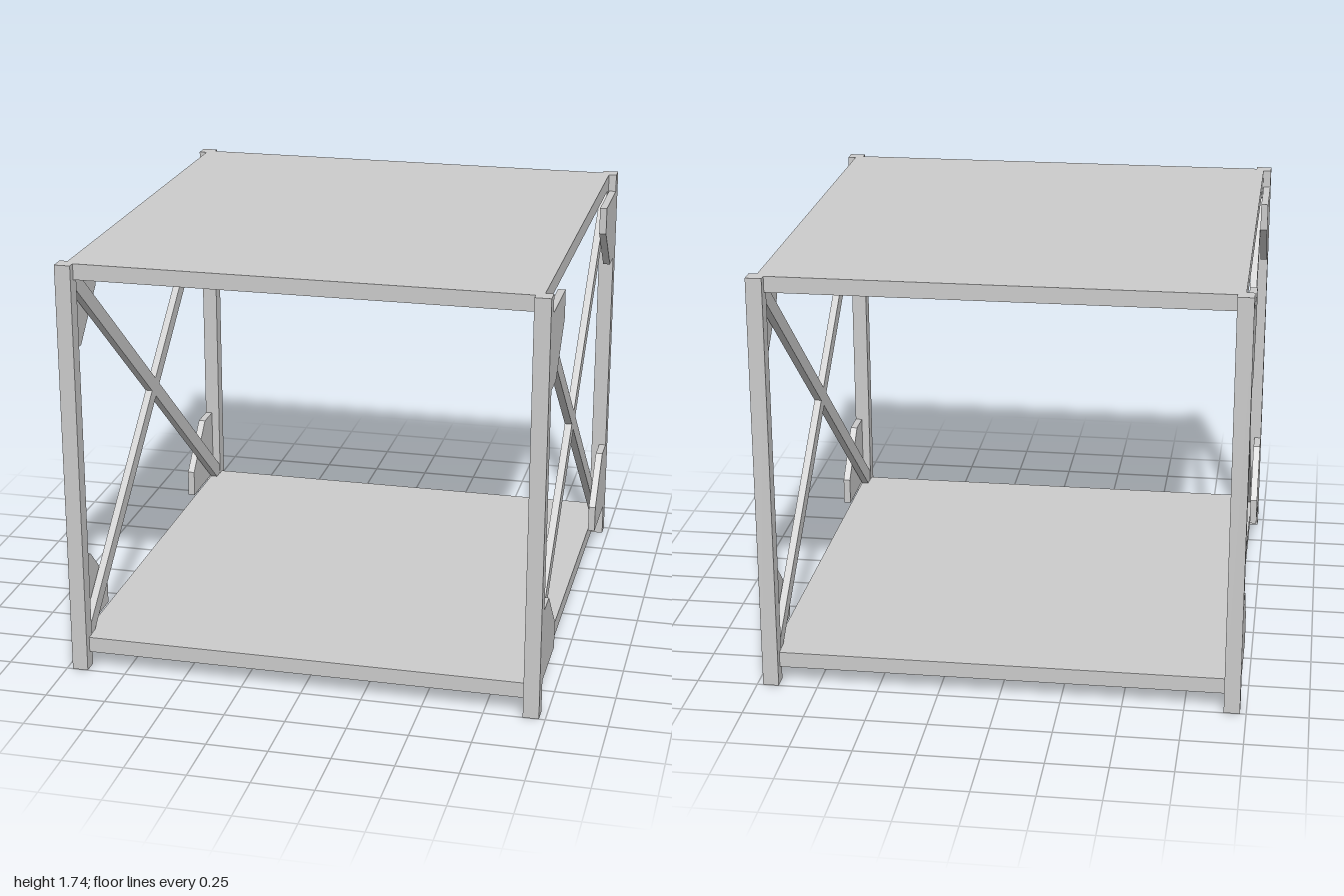
import * as THREE from 'three';

export function createModel() {
  const model = new THREE.Group();
  const material = new THREE.MeshStandardMaterial({ color: 0xcccccc, flatShading: true });

  const height = 1.74, bar = 0.065;      // overall height, timber width
  const outerX = 0.975, outerZ = 1;      // outer faces of the posts
  const plate = 0.03;                    // gusset and brace thickness
  const innerZ = outerZ - bar;
  const low = 0.138, high = 1.665;       // opening between the shelves

  function add(name, geometry, x, y, z) {
    const mesh = new THREE.Mesh(geometry, material);
    mesh.name = name;
    mesh.position.set(x, y, z);
    model.add(mesh);
    return mesh;
  }

  // Solid shelves, set slightly inside the outer post faces
  const shelf = new THREE.BoxGeometry(1.884, bar, 1.935);
  add('bottomShelf', shelf, 0, 0.07 + bar / 2, 0);
  add('topShelf', shelf, 0, height - bar / 2, 0);

  // Corner posts
  const post = new THREE.BoxGeometry(bar, height, bar);
  for (const sx of [-1, 1])
    for (const sz of [-1, 1])
      add('cornerPost', post, sx * (outerX - bar / 2), height / 2, sz * (outerZ - bar / 2));

  // Gusset plate with a clipped corner, extruded along x; sz and sy mirror it
  function gusset(sz, sy) {
    const y0 = sy > 0 ? low : high;
    const points = [[innerZ, 0], [0.625, 0], [0.625, 0.115], [0.818, 0.308], [innerZ, 0.308]]
      .map(([z, y]) => new THREE.Vector2(-sz * z, y0 + sy * y));
    return new THREE.ExtrudeGeometry(new THREE.Shape(points), { depth: plate, bevelEnabled: false })
      .rotateY(Math.PI / 2);
  }

  // Cross braces run corner to corner behind the gussets
  const rise = high - low, run = 2 * innerZ;
  const brace = new THREE.BoxGeometry(plate, bar, Math.hypot(rise, run));
  const angle = Math.atan2(rise, run);

  for (const sx of [-1, 1]) {
    for (const sz of [-1, 1]) {
      for (const sy of [-1, 1])
        add('gussetPlate', gusset(sz, sy), sx > 0 ? outerX - plate : -outerX, 0, 0);
      add('crossBrace', brace, sx * (outerX - plate * 1.5 - 0.003), (low + high) / 2, 0)
        .rotation.x = sz * angle;
    }
  }
  return model;
}
